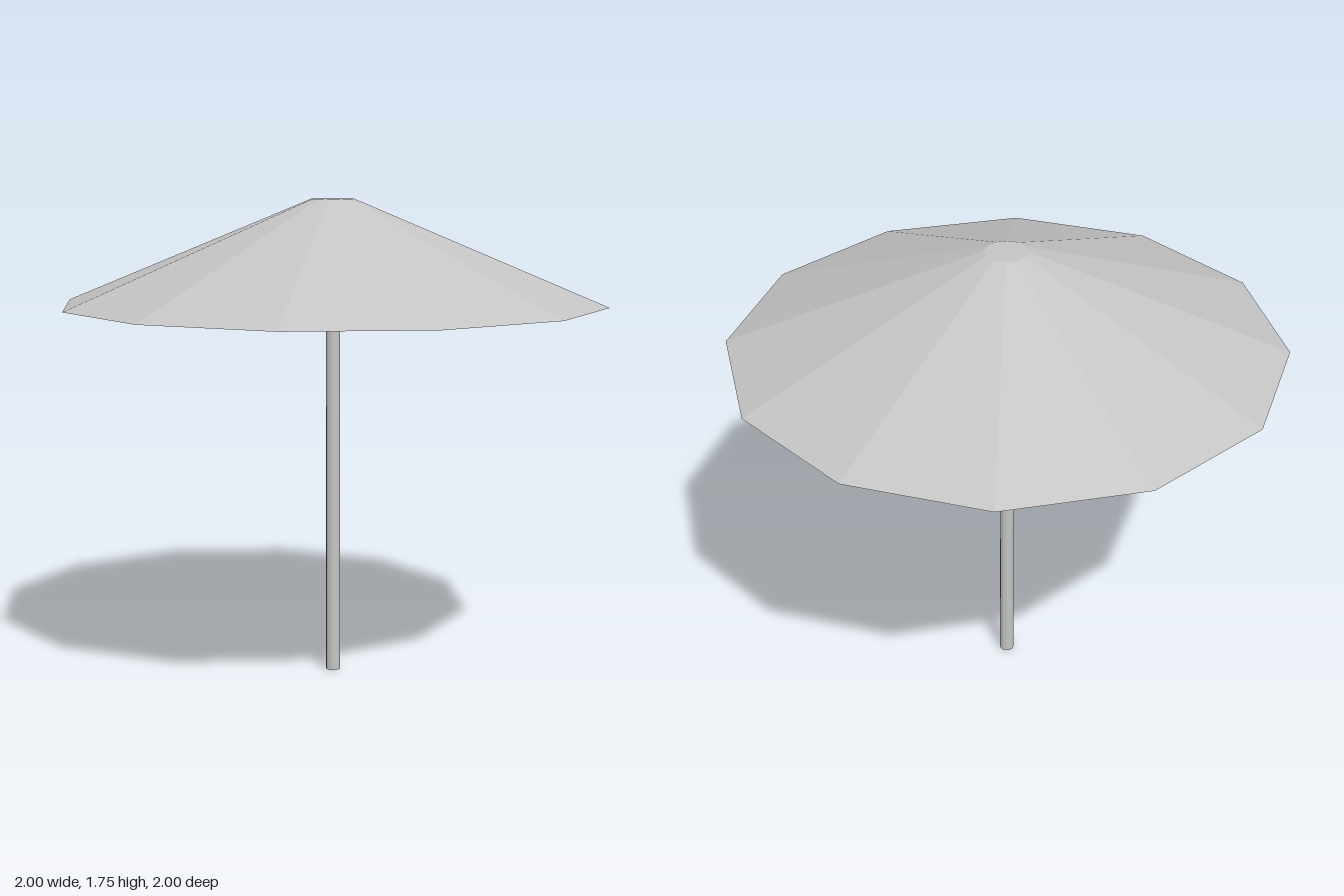
import * as THREE from 'three';

const SIDES = 12;
const POLE_HEIGHT = 1.375;
const CANOPY_HEIGHT = 0.38;

export function createModel() {
  const model = new THREE.Group();
  model.name = 'parasol';

  const grey = new THREE.MeshStandardMaterial({ color: 0xc4c4c4, flatShading: true });
  grey.name = 'light grey';

  // Faceted tapering part standing on the given height
  const addPrism = (name, topRadius, bottomRadius, height, baseY) => {
    const geometry = new THREE.CylinderGeometry(topRadius, bottomRadius, height, SIDES);
    const mesh = new THREE.Mesh(geometry, grey);
    mesh.name = name;
    mesh.position.y = baseY + height / 2;
    model.add(mesh);
  };

  // Slim upright pole
  addPrism('pole', 0.026, 0.026, POLE_HEIGHT, 0);

  // Shallow canopy with a small flat crown and a closed underside
  addPrism('canopy', 0.078, 1, CANOPY_HEIGHT, POLE_HEIGHT);

  return model;
}
